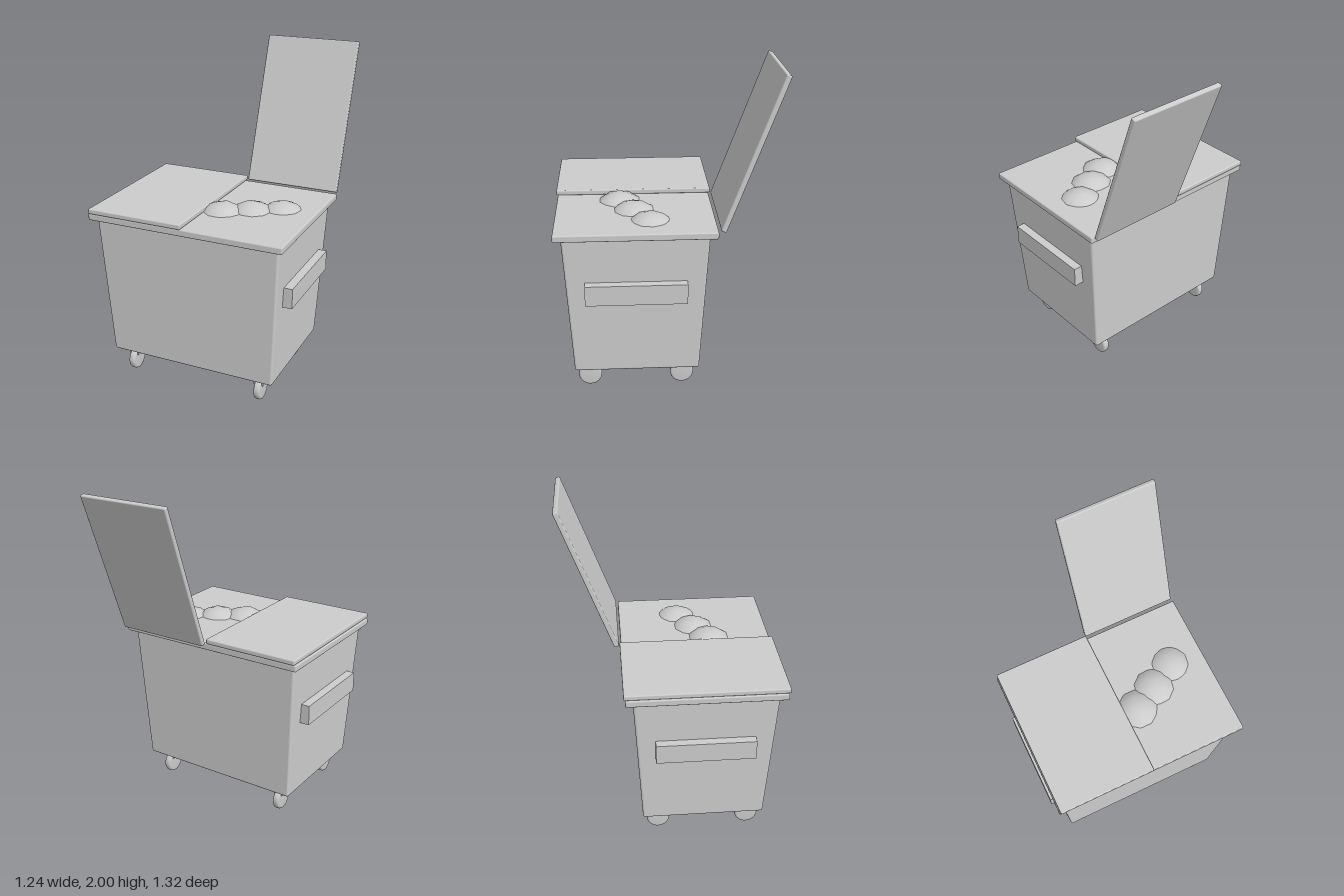
import * as THREE from 'three';
import { RoundedBoxGeometry } from 'three/addons/geometries/RoundedBoxGeometry.js';

export function createModel() {
  const model = new THREE.Group();
  model.name = 'wasteContainer';
  const grey = new THREE.MeshStandardMaterial({ color: 0xcccccc });
  grey.name = 'grey';
  const centreZ = 0.178;

  const add = (name, geometry, x, y, z) => {
    const mesh = new THREE.Mesh(geometry, grey);
    mesh.name = name;
    mesh.position.set(x, y, z);
    model.add(mesh);
    return mesh;
  };
  const slab = (w, h, d, r = 0.008) => new RoundedBoxGeometry(w, h, d, 2, r);

  // Tapered bin: narrower towards the floor
  const bodyHeight = 0.92;
  const body = slab(1.17, bodyHeight, 0.86, 0.015);
  const p = body.attributes.position;
  for (let i = 0; i < p.count; i++) {
    const drop = 0.5 - p.getY(i) / bodyHeight;
    p.setX(i, p.getX(i) * (1 - 0.083 * drop));
    p.setZ(i, p.getZ(i) * (1 - 0.118 * drop));
  }
  add('body', body, 0, 0.155 + bodyHeight / 2, centreZ);
  add('rim', slab(1.236, 0.042, 0.946), 0, 1.076, centreZ);

  // One closed lid and one swung open to the back
  add('closedLid', slab(0.612, 0.032, 0.964), -0.306, 1.114, centreZ);
  const openLid = add('openLid', slab(0.608, 0.032, 0.958), 0.305, 1.545, -0.485);
  openLid.rotation.x = THREE.MathUtils.degToRad(70);

  // Rubbish bags swelling out of the open half
  [[0.085, 0.265, 1.148], [0.24, 0.18, 1.146], [0.4, 0.087, 1.14]].forEach(([x, z, top], i) => {
    const bag = add('rubbishBag' + (i + 1), new THREE.IcosahedronGeometry(0.18, 2), x, top - 0.18, z);
    bag.rotation.y = i * 0.7;
  });

  // Side grips and casters, mirrored
  const wheelProfile = [[0, -0.022], [0.058, -0.022], [0.068, -0.018], [0.072, -0.01],
    [0.072, 0.01], [0.068, 0.018], [0.058, 0.022], [0, 0.022]].map(([r, y]) => new THREE.Vector2(r, y));
  const wheel = new THREE.LatheGeometry(wheelProfile, 28).rotateZ(Math.PI / 2);
  for (const side of [1, -1]) {
    const label = side > 0 ? 'left' : 'right';
    add(label + 'Grip', new THREE.BoxGeometry(0.06, 0.125, 0.6), side * 0.592, 0.712, centreZ);
    for (const [end, z] of [['Front', 0.468], ['Back', -0.102]]) {
      add(label + end + 'Bracket', new THREE.BoxGeometry(0.06, 0.055, 0.07), side * 0.43, 0.133, z);
      add(label + end + 'Wheel', wheel, side * 0.431, 0.072, z);
    }
  }
  return model;
}
